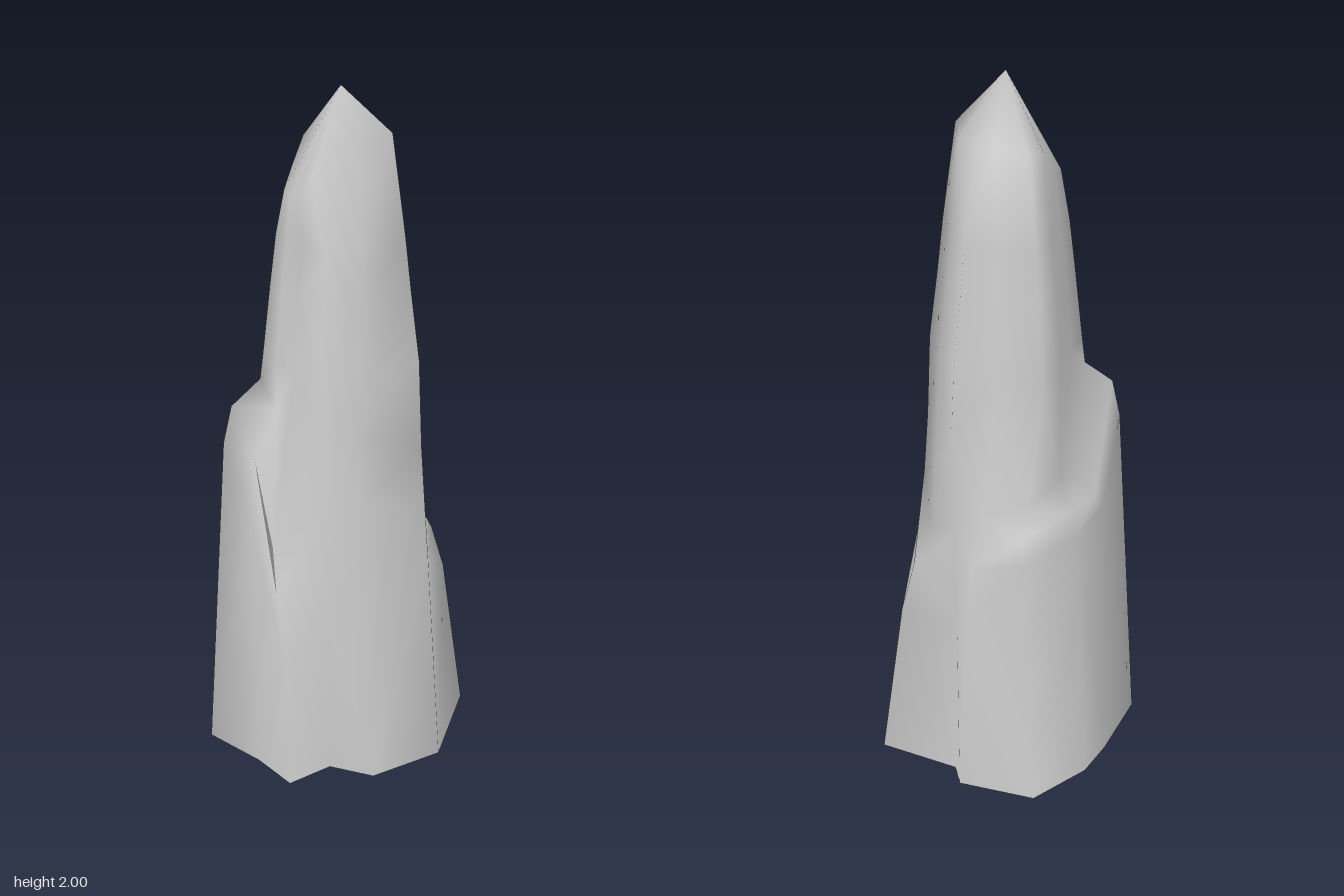
import * as THREE from 'three';

// Each column, going round from the left shoulder: foot, shoulder, brow,
// and the point where the shoulder meets the spire, as [x, y, z]
const columns = [
  [[-0.36, 0, -0.07], [-0.3, 1.0, -0.05], [-0.277, 1.11, -0.045], [-0.2, 1.18, -0.03]],
  [[-0.19, 0, -0.2], [-0.19, 0.8, -0.155], [-0.17, 0.83, -0.145], [-0.13, 0.9, -0.12]],
  [[-0.09, 0, -0.26], [-0.075, 0.78, -0.22], [-0.065, 0.85, -0.2], [-0.05, 0.94, -0.165]],
  [[0.095, 0, -0.295], [0.09, 0.74, -0.228], [0.08, 0.81, -0.205], [0.05, 0.89, -0.18]],
  [[0.245, 0, -0.14], [0.21, 0.55, -0.13], [0.19, 0.7, -0.125], [0.15, 0.85, -0.115]],
  [[0.225, 0, -0.075], [0.21, 0.5, -0.07], [0.203, 0.8, -0.06], [0.203, 1.1, -0.045]],
  [[0.36, 0, 0.11], [0.303, 0.48, 0.08], [0.265, 0.62, 0.075], [0.212, 0.73, 0.065]],
  [[0.18, 0, 0.295], [0.15, 0.67, 0.255], [0.15, 0.8, 0.235], [0.15, 1.0, 0.205]],
  [[-0.03, 0, 0.295], [-0.06, 0.69, 0.25], [-0.05, 0.9, 0.225], [-0.04, 1.1, 0.2]],
  [[-0.12, 0, 0.205], [-0.125, 0.6, 0.2], [-0.13, 0.9, 0.195], [-0.13, 1.1, 0.185]],
  [[-0.25, 0, 0.215], [-0.25, 0.42, 0.2], [-0.24, 0.6, 0.13], [-0.225, 0.72, 0.08]],
  [[-0.285, 0, 0.09], [-0.277, 0.8, 0.06], [-0.26, 1.0, 0.055], [-0.19, 1.13, 0.045]],
];

// Outline of the spire, and its rings: [y, radius x, centre z, radius z]
const outline = [
  [-1, -0.15], [-0.68, -0.45], [-0.35, -0.74], [0.05, -1], [0.52, -0.6], [1, -0.27],
  [0.88, 0.42], [0.77, 0.98], [0, 1], [-0.65, 0.95], [-0.8, 0.42], [-0.93, 0.12],
];
const rings = [
  [1.25, 0.195, 0.005, 0.18],
  [1.45, 0.172, 0.004, 0.162],
  [1.6, 0.156, 0.008, 0.146],
];

// Uneven crown, where the spire breaks towards its tip
const crown = [
  [-0.143, 1.73, 0.01], [-0.1, 1.77, -0.03], [-0.05, 1.82, -0.07], [0.01, 1.84, -0.1],
  [0.08, 1.85, -0.06], [0.112, 1.86, -0.03], [0.118, 1.85, 0.06], [0.1, 1.87, 0.113],
  [0, 1.93, 0.115], [-0.11, 1.78, 0.092], [-0.135, 1.74, 0.07], [-0.143, 1.72, 0.04],
];
const apex = [-0.015, 2, 0.063];

function spireGeometry() {
  const n = columns.length;
  const rows = [
    ...[0, 1, 2, 3].map((k) => columns.map((column) => column[k])),
    ...rings.map(([y, rx, cz, rz]) => outline.map(([x, z]) => [x * rx, y, cz + z * rz])),
    crown,
  ];
  const points = [...rows.flat(), apex];
  const gap = (p, q) => Math.hypot(...points[p].map((v, k) => v - points[q][k]));
  const index = [];
  for (let r = 0; r < rows.length; r++) {
    for (let i = 0; i < n; i++) {
      const a = r * n + i;
      const b = r * n + (i + 1) % n;
      if (r === rows.length - 1) index.push(b, a, points.length - 1);
      // Split each quad along its shorter diagonal
      else if (gap(b, a + n) < gap(a, b + n)) index.push(b, a, a + n, b, a + n, b + n);
      else index.push(b, a, b + n, a, a + n, b + n);
    }
  }
  const geometry = new THREE.BufferGeometry();
  geometry.setAttribute('position', new THREE.Float32BufferAttribute(points.flat(), 3));
  geometry.setIndex(index);
  geometry.computeVertexNormals();
  return geometry;
}

export function createModel() {
  const group = new THREE.Group();
  group.name = 'rockSpire';
  // Hollow shell, open underneath
  const stone = new THREE.MeshStandardMaterial({ color: 0xcccccc, side: THREE.DoubleSide });
  stone.name = 'grey stone';
  const rock = new THREE.Mesh(spireGeometry(), stone);
  rock.name = 'rock';
  group.add(rock);
  return group;
}
